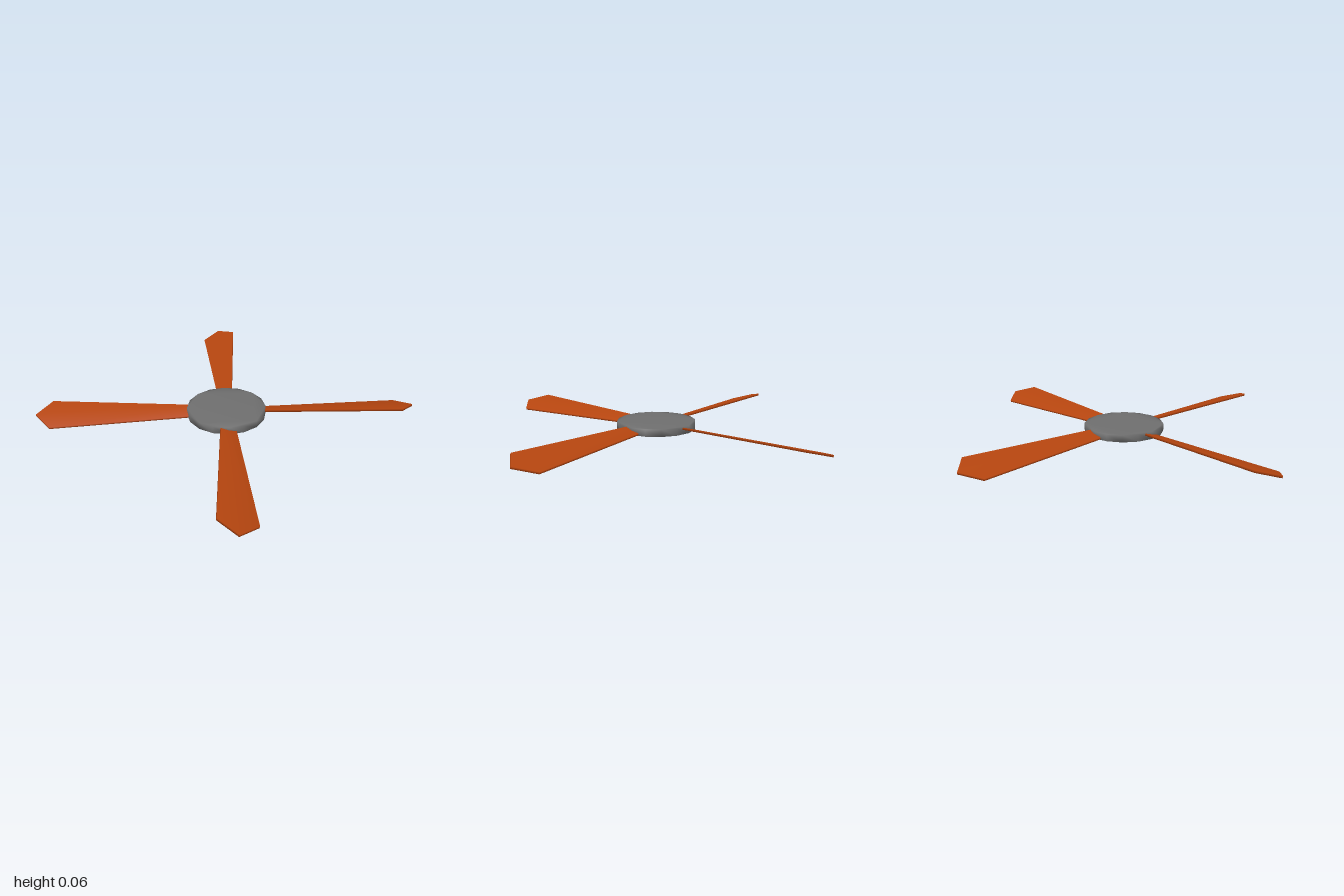
import * as THREE from 'three';
import { mergeVertices } from 'three/addons/utils/BufferGeometryUtils.js';

const MID_Y = 0.032; // height of the rotor plane

// Flat plate lying in the xz plane, centred on y = 0, with normals blended over its rim
function plate(points, thickness) {
  let geo = new THREE.ExtrudeGeometry(new THREE.Shape(points), { depth: thickness, bevelEnabled: false });
  geo.translate(0, 0, -thickness / 2);
  geo.rotateX(-Math.PI / 2);
  geo.deleteAttribute('uv');
  geo.deleteAttribute('normal');
  geo = mergeVertices(geo, 1e-4);
  geo.computeVertexNormals();
  return geo;
}

export function createModel() {
  const model = new THREE.Group();
  model.name = 'rotor';
  const hubMaterial = new THREE.MeshStandardMaterial({ color: 0x6e6e6e });
  const bladeMaterial = new THREE.MeshStandardMaterial({ color: 0xb5450f });

  // Sixteen-sided hub disc
  const rim = [];
  for (let i = 0; i < 16; i++) {
    const a = (i / 16) * Math.PI * 2;
    rim.push(new THREE.Vector2(0.209 * Math.cos(a), 0.209 * Math.sin(a)));
  }
  const hub = new THREE.Mesh(plate(rim, 0.038), hubMaterial);
  hub.name = 'hub';
  hub.position.y = MID_Y;
  model.add(hub);

  // Blade widening outward to a pointed tip, pitched about its own length
  const outline = [[0.17, -0.04], [0.92, -0.095], [1, 0], [0.92, 0.095], [0.17, 0.04]]
    .map(([x, y]) => new THREE.Vector2(x, y));
  const bladeGeometry = plate(outline, 0.011);
  bladeGeometry.rotateX(-0.28);

  for (let i = 0; i < 4; i++) {
    const blade = new THREE.Mesh(bladeGeometry, bladeMaterial);
    blade.name = `blade${i + 1}`;
    blade.position.y = MID_Y;
    blade.rotation.y = (i * Math.PI) / 2;
    model.add(blade);
  }
  return model;
}
